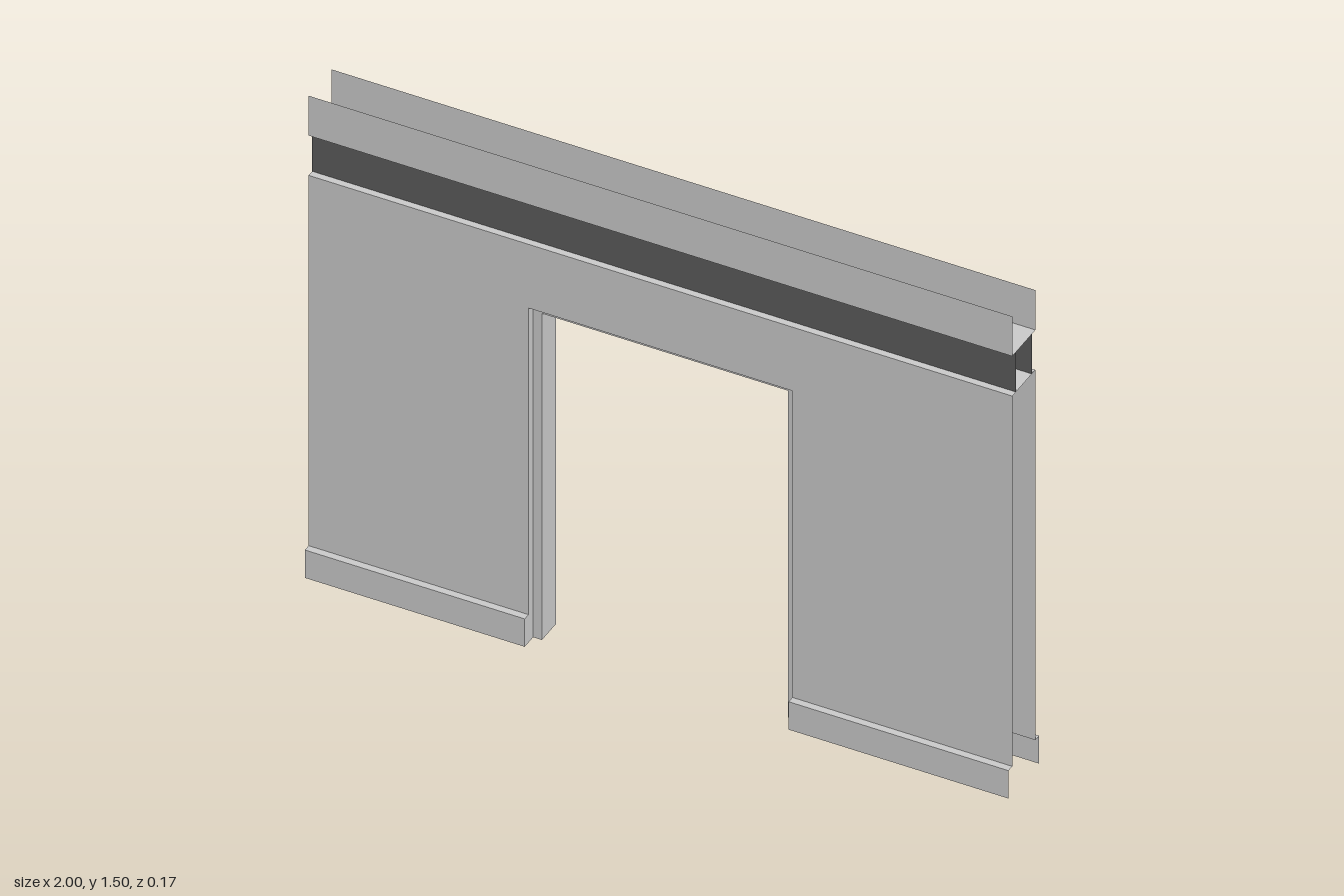
import * as THREE from 'three';

const wallMat = new THREE.MeshStandardMaterial({ color: 0xcccccc, side: THREE.DoubleSide, flatShading: true });
const bandMat = new THREE.MeshStandardMaterial({ color: 0x5c5c5c, side: THREE.DoubleSide, flatShading: true });

// Main dimensions
const WALL_Z = 0.0625, BASE_Z = 0.083, BAND_Z = 0.043, FRAME_Z = 0.0375;
const BASE_TOP = 0.0875, WALL_TOP = 1.25, BAND_TOP = 1.375, TOP = 1.5;
const DOOR = { half: 0.375, top: 1.05 }, INNER = { half: 0.35, top: 1.025 };

// Flat quads between successive rows of points
function loft(name, rows, material) {
  const pos = [];
  for (let i = 0; i < rows.length - 1; i++) {
    for (let j = 0; j < rows[i].length - 1; j++) {
      const a = rows[i][j], b = rows[i][j + 1], c = rows[i + 1][j + 1], d = rows[i + 1][j];
      pos.push(...a, ...b, ...c, ...a, ...c, ...d);
    }
  }
  const geo = new THREE.BufferGeometry();
  geo.setAttribute('position', new THREE.Float32BufferAttribute(pos, 3));
  geo.computeVertexNormals();
  const mesh = new THREE.Mesh(geo, material);
  mesh.name = name;
  return mesh;
}

// Open [z, y] profile run along x
function strip(name, profile, x0, x1, material = wallMat) {
  return loft(name, profile.map(([z, y]) => [[x0, y, z], [x1, y, z]]), material);
}

// One face of the wall: panel, skirting, recessed band and top strip
function wallSide(name) {
  const side = new THREE.Group();
  side.name = name;

  // Wall panel around the doorway
  const { half, top } = DOOR;
  const outline = [[-1, BASE_TOP], [-half, BASE_TOP], [-half, top], [half, top],
    [half, BASE_TOP], [1, BASE_TOP], [1, WALL_TOP], [-1, WALL_TOP]];
  const shape = new THREE.Shape(outline.map(([x, y]) => new THREE.Vector2(x, y)));
  const panel = new THREE.Mesh(new THREE.ShapeGeometry(shape), wallMat);
  panel.name = 'wallPanel';
  panel.position.z = WALL_Z;
  side.add(panel);

  // Skirting boards with an end cap beside the doorway
  const skirting = [[BASE_Z, 0], [BASE_Z, BASE_TOP], [WALL_Z, BASE_TOP]];
  for (const s of [-1, 1]) {
    const [x0, x1] = s < 0 ? [-1, -half] : [half, 1];
    side.add(strip('skirtingBoard', skirting, x0, x1));
    const [z0, z1] = s < 0 ? [BASE_Z, WALL_Z] : [WALL_Z, BASE_Z];
    side.add(loft('skirtingEnd',
      [0, BASE_TOP].map((y) => [[s * half, y, z0], [s * half, y, z1]]), wallMat));
  }

  side.add(strip('darkBand', [[BAND_Z, WALL_TOP], [BAND_Z, BAND_TOP]], -1, 1, bandMat));
  side.add(strip('topStrip', [[WALL_Z, BAND_TOP], [WALL_Z, TOP]], -1, 1));
  return side;
}

export function createModel() {
  const model = new THREE.Group();
  model.name = 'doorwayWall';

  const front = wallSide('frontSide');
  const back = wallSide('backSide');
  back.rotation.y = Math.PI;
  model.add(front, back);

  // Horizontal ledges below and above the band
  for (const [name, y] of [['lowerLedge', WALL_TOP], ['upperLedge', BAND_TOP]]) {
    model.add(strip(name, [[WALL_Z, y], [-WALL_Z, y]], -1, 1));
  }

  // Stepped door frame, front to back
  const steps = [[DOOR, WALL_Z], [DOOR, FRAME_Z], [INNER, FRAME_Z],
    [INNER, -FRAME_Z], [DOOR, -FRAME_Z], [DOOR, -WALL_Z]];
  model.add(loft('doorFrame', steps.map(([{ half, top }, z]) =>
    [[half, 0, z], [half, top, z], [-half, top, z], [-half, 0, z]]), wallMat));

  return model;
}
